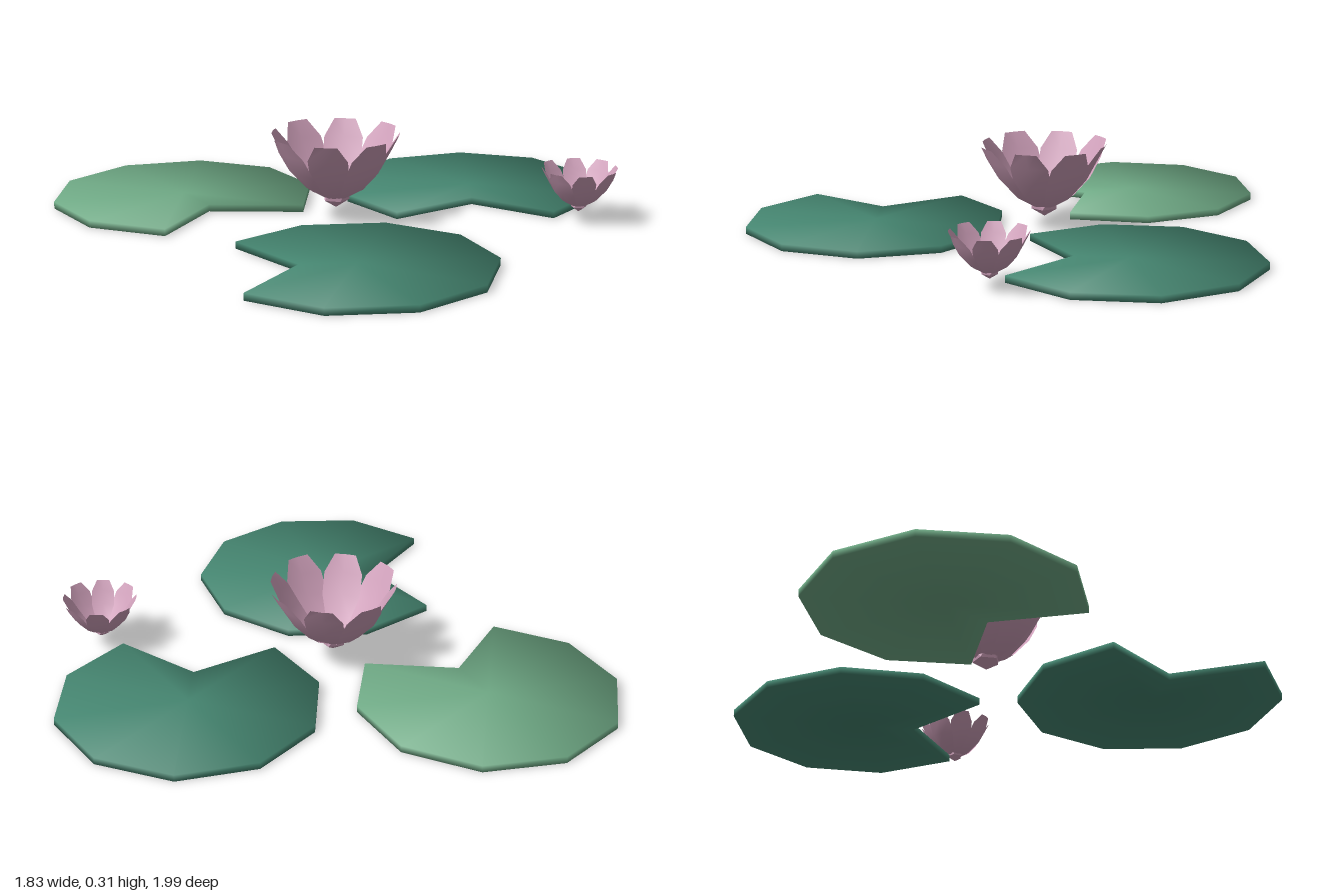
import * as THREE from 'three';

const deepGreen = new THREE.MeshStandardMaterial({ color: 0x458570 });
deepGreen.name = 'deepLeafGreen';
const paleGreen = new THREE.MeshStandardMaterial({ color: 0x6fa985 });
paleGreen.name = 'paleLeafGreen';
const pink = new THREE.MeshStandardMaterial({ color: 0xcfa0ba, side: THREE.DoubleSide });
pink.name = 'petalPink';

const rad = THREE.MathUtils.degToRad;

function makeGeometry(positions, indices) {
  const geo = new THREE.BufferGeometry();
  geo.setAttribute('position', new THREE.Float32BufferAttribute(positions, 3));
  geo.setIndex(indices);
  geo.computeVertexNormals();
  return geo;
}

// Ten-sided disc with one corner pulled inwards as the notch; rim normals lean out for soft shading
function padGeometry(notchAngle) {
  const sides = 10, radius = 0.47, notchRadius = 0.19, thickness = 0.025;
  const positions = [0, thickness, 0, 0, 0, 0];
  const normals = [0, 1, 0, 0, -1, 0];
  const indices = [];
  for (let i = 0; i < sides; i++) {
    const a = rad(notchAngle + i * 36);
    const r = i === 0 ? notchRadius : radius;
    const c = Math.cos(a), s = Math.sin(a), n = Math.SQRT1_2;
    positions.push(c * r, thickness, s * r, c * r, 0, s * r);
    normals.push(c * n, n, s * n, c * n, -n, s * n);
    const t = 2 + i * 2, b = t + 1;
    const t2 = 2 + ((i + 1) % sides) * 2, b2 = t2 + 1;
    indices.push(0, t2, t, 1, b, b2, t, t2, b2, t, b2, b);
  }
  const geo = makeGeometry(positions, indices);
  geo.setAttribute('normal', new THREE.Float32BufferAttribute(normals, 3));
  return geo;
}

// Petal rows: radius, height, half angle of the wrap around the flower axis
const petalRows = [
  [0.035, 0.075, 26],
  [0.105, 0.115, 27],
  [0.165, 0.18, 26],
  [0.205, 0.25, 21],
  [0.236, 0.308, 10],
];

function petalGeometry() {
  const positions = [], indices = [];
  petalRows.forEach(([r, y, half], row) => {
    for (let k = -1; k <= 1; k++) {
      const a = rad(half * k);
      positions.push(Math.sin(a) * r, y, Math.cos(a) * r);
      if (row > 0 && k < 1) {
        const p = row * 3 + k + 1, q = p - 3;
        indices.push(q, q + 1, p + 1, q, p + 1, p);
      }
    }
  });
  return makeGeometry(positions, indices);
}

// Open cup of eight overlapping petals around a faceted heart
function makeFlower(name) {
  const flower = new THREE.Group();
  flower.name = name;
  const geo = petalGeometry();
  for (let i = 0; i < 8; i++) {
    const petal = new THREE.Mesh(geo, pink);
    petal.name = 'petal';
    petal.rotation.y = (i * Math.PI) / 4;
    const spread = i % 2 ? 0.95 : 1;
    petal.scale.set(spread, 1, spread);
    flower.add(petal);
  }
  const heartGeo = new THREE.IcosahedronGeometry(0.054, 0);
  heartGeo.rotateZ(-0.5536);
  const heart = new THREE.Mesh(heartGeo, pink);
  heart.name = 'flowerHeart';
  heart.position.y = 0.094;
  flower.add(heart);
  return flower;
}

export function createModel() {
  const model = new THREE.Group();
  model.name = 'waterLilies';

  // Floating leaves
  const pads = [
    ['backLilyPad', -0.445, -0.53, 94, paleGreen],
    ['leftLilyPad', 0.46, -0.003, 126, deepGreen],
    ['frontLilyPad', -0.452, 0.53, 211, deepGreen],
  ];
  for (const [name, x, z, notch, material] of pads) {
    const pad = new THREE.Mesh(padGeometry(notch), material);
    pad.name = name;
    pad.position.set(x, 0, z);
    model.add(pad);
  }

  // Blossoms
  const large = makeFlower('largeFlower');
  large.position.set(-0.147, 0, 0);
  const small = makeFlower('smallFlower');
  small.scale.setScalar(0.59);
  small.position.set(0.505, 0.012, 0.545);
  small.rotation.y = 0.2;
  model.add(large, small);

  return model;
}
